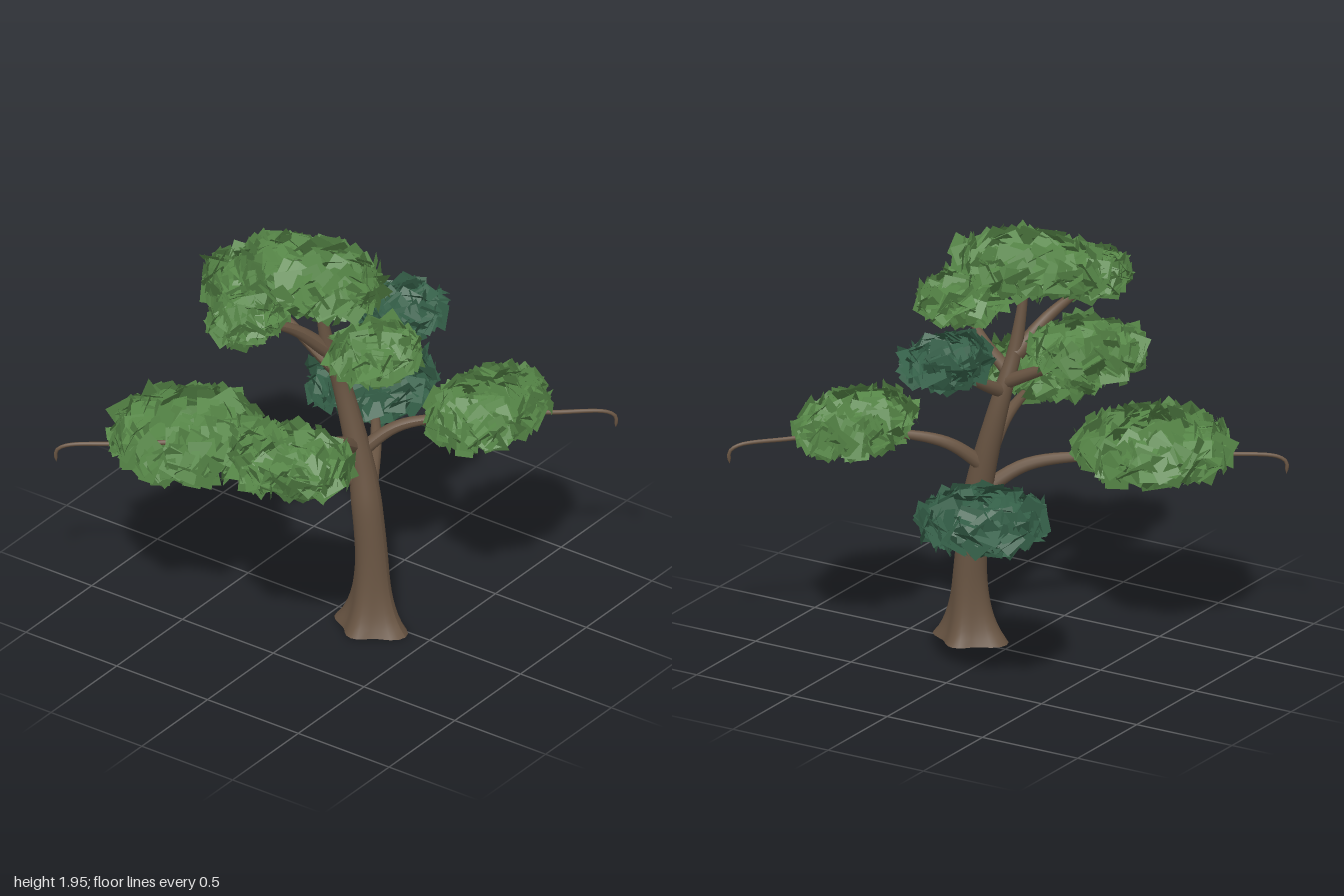
import * as THREE from 'three';

const bark = new THREE.MeshStandardMaterial({ color: 0x685442 });
bark.name = 'bark';
const leafGreen = new THREE.MeshStandardMaterial({ color: 0x568647, side: THREE.DoubleSide });
leafGreen.name = 'leaf green';
const leafDark = new THREE.MeshStandardMaterial({ color: 0x345f48, side: THREE.DoubleSide });
leafDark.name = 'dark leaf green';

// Small seeded random generator
function seeded(seed) {
  let s = seed * 7919 + 17;
  return () => {
    s = (s * 1664525 + 1013904223) % 4294967296;
    return s / 4294967296;
  };
}

// Tube along points; radiusAt(t, y, angle) gives the radius at each vertex
function limb(name, points, radiusAt, segments = 20, sides = 10) {
  const curve = new THREE.CatmullRomCurve3(points.map((p) => new THREE.Vector3(...p)));
  const geo = new THREE.TubeGeometry(curve, segments, 1, sides, false);
  const pos = geo.attributes.position;
  const v = new THREE.Vector3();
  for (let i = 0; i <= segments; i++) {
    const c = curve.getPointAt(i / segments);
    for (let j = 0; j <= sides; j++) {
      const k = i * (sides + 1) + j;
      v.fromBufferAttribute(pos, k).sub(c);
      v.multiplyScalar(radiusAt(i / segments, c.y, Math.atan2(v.z, v.x))).add(c);
      pos.setXYZ(k, v.x, Math.max(0, v.y), v.z);
    }
  }
  geo.computeVertexNormals();
  const mesh = new THREE.Mesh(geo, bark);
  mesh.name = name;
  return mesh;
}

// Linear taper that closes to a point at the end
const taper = (r0, r1) => (t) => (t === 1 ? 0.001 : THREE.MathUtils.lerp(r0, r1, t));

// Trunk radius: slow taper plus a flare of four roots, longest sideways
function trunkRadius(t, y, a) {
  const core = y < 0.65 ? 0.069 : THREE.MathUtils.mapLinear(y, 0.65, 1.78, 0.068, 0.014);
  const flare = 0.12 * Math.exp(-y / 0.13);
  return core + flare * (0.68 + 0.18 * Math.cos(4 * a) + 0.14 * Math.cos(2 * a));
}

// Flat cap under the roots, following their outline
function trunkBase(x, z) {
  const geo = new THREE.CircleGeometry(1, 32).rotateX(Math.PI / 2);
  const pos = geo.attributes.position;
  for (let i = 1; i < pos.count; i++) {
    const a = Math.atan2(pos.getZ(i), pos.getX(i));
    const r = trunkRadius(0, 0, a);
    pos.setXYZ(i, Math.cos(a) * r, 0, Math.sin(a) * r);
  }
  const mesh = new THREE.Mesh(geo, bark);
  mesh.name = 'trunkBase';
  mesh.position.set(x, 0, z);
  return mesh;
}

// Flattened cloud of square leaf cards spread over a shell
function foliage(name, [cx, cy, cz], [rx, ry, rz], material, seed) {
  const rand = seeded(seed);
  const jitter = () => rand() * 2 - 1;
  const count = Math.round(130 + 1200 * rx * rz);
  const verts = [];
  const normal = new THREE.Vector3();
  const right = new THREE.Vector3();
  const up = new THREE.Vector3();
  const center = new THREE.Vector3();
  const corner = (sx, sy) => center.clone().addScaledVector(right, sx).addScaledVector(up, sy);
  for (let i = 0; i < count; i++) {
    const u = (((i + 0.5) / count) * 2 - 1) * 0.985;
    const a = i * 2.39996 + jitter() * 0.25;
    const h = Math.pow(1 - u * u, 0.47);
    const depth = 1 - 0.25 * rand() * rand();
    center.set(
      cx + Math.cos(a) * h * (rx - 0.035) * depth,
      cy + u * (ry - 0.04) * depth,
      cz + Math.sin(a) * h * (rz - 0.035) * depth
    );
    // Cards face outward with a random tilt
    normal.set(Math.cos(a) * h, u * 1.2, Math.sin(a) * h).normalize();
    normal.x += jitter() * 0.75;
    normal.y += jitter() * 0.75;
    normal.z += jitter() * 0.75;
    normal.normalize();
    right.set(jitter(), jitter(), jitter()).cross(normal).normalize();
    up.crossVectors(normal, right);
    right.multiplyScalar(0.038 + rand() * 0.028);
    up.multiplyScalar(0.038 + rand() * 0.028);
    const [p, q, r, s] = [corner(-1, -1), corner(1, -1), corner(1, 1), corner(-1, 1)];
    for (const c of [p, q, r, p, r, s]) verts.push(c.x, c.y, c.z);
  }
  const geo = new THREE.BufferGeometry();
  geo.setAttribute('position', new THREE.Float32BufferAttribute(verts, 3));
  geo.computeVertexNormals();
  const mesh = new THREE.Mesh(geo, material);
  mesh.name = name;
  return mesh;
}

// Branch that bends out of the trunk into its own leaf cloud
function bough(name, seed, material, start, bend, center, radii, thickness) {
  const group = new THREE.Group();
  group.name = name + 'Bough';
  const end = [center[0], center[1] - radii[1] * 0.25, center[2]];
  group.add(limb(name + 'Branch', [start, bend, end], taper(thickness, 0.013)));
  group.add(foliage(name + 'Leaves', center, radii, material, seed));
  return group;
}

// Bare twig that runs straight out of a leaf cloud and droops at its tip
function twig(name, start, [x, y, z]) {
  const along = (t) => [THREE.MathUtils.lerp(start[0], x, t), THREE.MathUtils.lerp(start[1], y, t), THREE.MathUtils.lerp(start[2], z, t)];
  return limb(name, [start, along(0.5), along(0.93), [x, y - 0.025, z], [x, y - 0.08, z]], taper(0.013, 0.008), 30, 8);
}

export function createModel() {
  const tree = new THREE.Group();
  tree.name = 'tree';

  // Leaning trunk
  tree.add(limb('trunk', [
    [0.21, 0, 0.045], [0.21, 0.15, 0.04], [0.205, 0.35, 0.035], [0.18, 0.6, 0.035],
    [0.14, 0.8, 0.025], [0.04, 1.2, 0.04], [0.005, 1.4, 0.09], [-0.03, 1.78, 0.14],
  ], trunkRadius, 50, 32));
  tree.add(trunkBase(0.21, 0.045));

  // Lower boughs: start, bend, cloud centre, cloud radii, thickness
  tree.add(bough('lowerBack', 1, leafDark, [0.18, 0.64, 0.02], [0.03, 0.77, -0.24], [-0.23, 0.84, -0.56], [0.31, 0.135, 0.31], 0.036));
  tree.add(bough('lowerRight', 2, leafGreen, [0.15, 0.71, 0.03], [-0.02, 0.835, 0.17], [-0.51, 0.93, 0.44], [0.38, 0.15, 0.38], 0.038));
  tree.add(bough('left', 3, leafGreen, [0.11, 0.84, 0.02], [0.25, 0.975, -0.11], [0.58, 1.075, -0.33], [0.25, 0.13, 0.36], 0.036));
  tree.add(bough('front', 4, leafGreen, [0.11, 0.88, 0.02], [0.14, 1.01, 0.24], [0.18, 1.115, 0.615], [0.31, 0.13, 0.26], 0.038));

  // Upper boughs
  tree.add(bough('upperBack', 5, leafDark, [0.04, 1.21, 0.04], [0.08, 1.3, -0.12], [0.13, 1.44, -0.285], [0.2, 0.12, 0.245], 0.034));
  tree.add(bough('upperRight', 6, leafGreen, [0.035, 1.25, 0.05], [-0.18, 1.36, 0.03], [-0.45, 1.525, -0.01], [0.29, 0.13, 0.26], 0.034));
  tree.add(bough('upperLeft', 7, leafGreen, [0.02, 1.29, 0.07], [0.18, 1.39, 0.12], [0.35, 1.545, 0.21], [0.21, 0.12, 0.24], 0.034));
  tree.add(bough('upperFront', 8, leafGreen, [0, 1.38, 0.09], [-0.08, 1.53, 0.24], [-0.17, 1.675, 0.47], [0.17, 0.11, 0.21], 0.038));

  // Crown on the trunk top
  tree.add(foliage('crownLeaves', [-0.03, 1.79, 0.17], [0.39, 0.125, 0.28], leafGreen, 9));

  // Bare twigs reaching out to both sides
  tree.add(twig('rightTwig', [-0.51, 0.9, 0.46], [-0.992, 0.865, 0.78]));
  tree.add(twig('leftTwig', [0.58, 1.04, -0.35], [0.992, 1.005, -0.735]));

  return tree;
}
